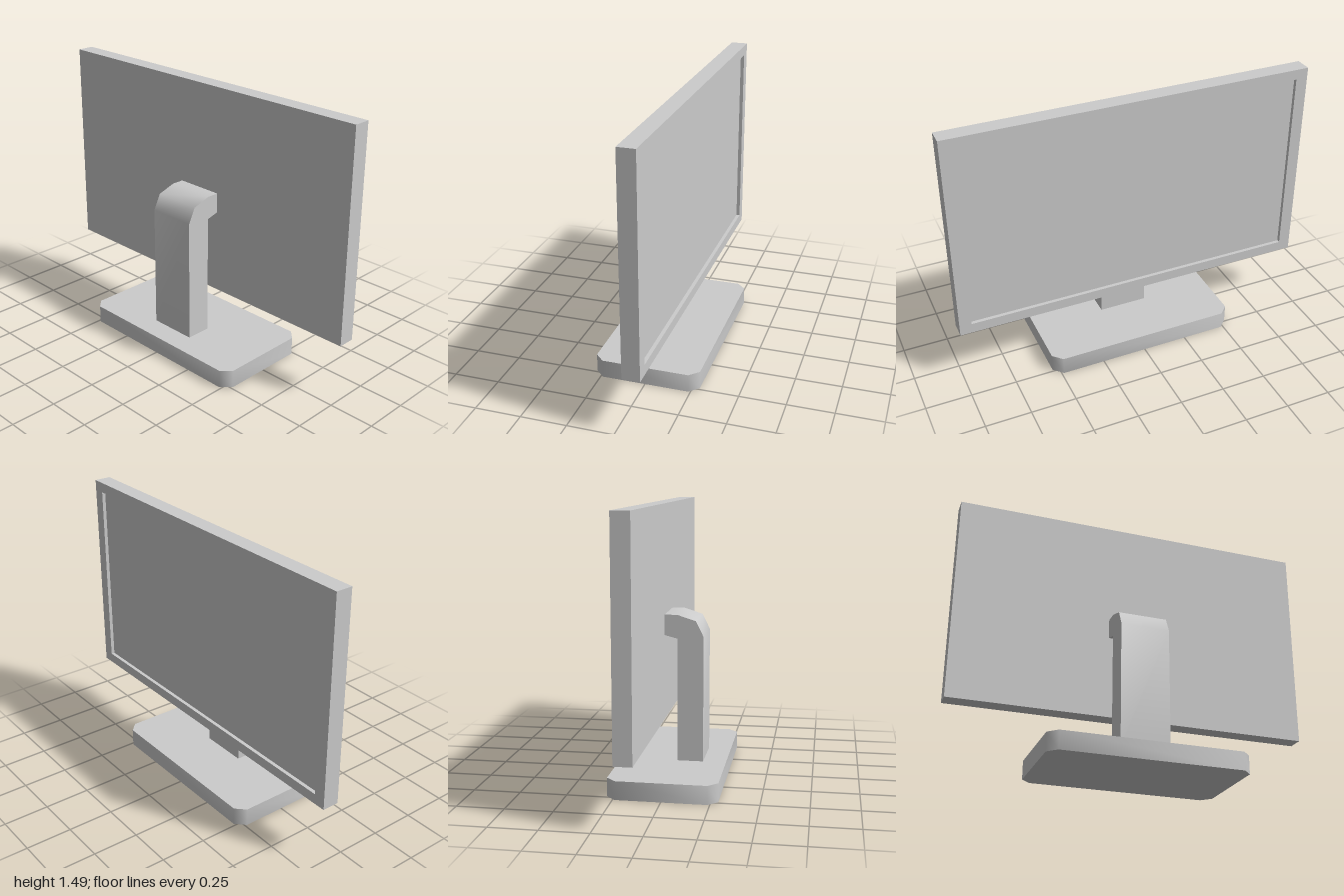
import * as THREE from 'three';
import { toCreasedNormals } from 'three/addons/utils/BufferGeometryUtils.js';

const material = new THREE.MeshStandardMaterial({ color: 0xcccccc });

const points = (list) => list.map(([x, y]) => new THREE.Vector2(x, y));

const rectangle = (w, h) =>
  points([[-w / 2, -h / 2], [w / 2, -h / 2], [w / 2, h / 2], [-w / 2, h / 2]]);

const extrude = (shape, depth) =>
  new THREE.ExtrudeGeometry(shape, { depth, bevelEnabled: false });

export function createModel() {
  const model = new THREE.Group();
  model.name = 'monitor';

  const add = (name, geometry, x = 0, y = 0, z = 0) => {
    const mesh = new THREE.Mesh(geometry, material);
    mesh.name = name;
    mesh.position.set(x, y, z);
    model.add(mesh);
  };

  // Base: slab with cut corners, softly shaded around its rim
  const bx = 0.288, bz = 0.537, cut = 0.05;
  const baseShape = new THREE.Shape(points([
    [-bx + cut, -bz], [bx - cut, -bz], [bx, -bz + cut], [bx, bz - cut],
    [bx - cut, bz], [-bx + cut, bz], [-bx, bz - cut], [-bx, -bz + cut],
  ]));
  const base = extrude(baseShape, 0.1).rotateX(-Math.PI / 2);
  add('base', toCreasedNormals(base, 0.9));

  // Neck: upright that bends over to meet the back of the screen
  const neckShape = new THREE.Shape(points([
    [-0.163, 0.1], [-0.022, 0.1], [-0.022, 0.772], [0.047, 0.79],
    [0.047, 0.9], [-0.022, 0.9], [-0.122, 0.868], [-0.163, 0.785],
  ]));
  const neckWidth = 0.27;
  const neck = extrude(neckShape, neckWidth).translate(0, 0, -neckWidth / 2);
  add('neck', toCreasedNormals(neck, 0.9));

  // Screen housing: its front face is the recessed display panel
  const height = 1.158, middle = 0.906, back = 0.047, front = 0.14, recess = 0.02;
  const depth = front - recess - back;
  add('screenHousing', new THREE.BoxGeometry(depth, height, 2), back + depth / 2, middle);

  // Bezel: raised rim around the panel, facing +x
  const bezelShape = new THREE.Shape(rectangle(2, height));
  bezelShape.holes.push(new THREE.Path(rectangle(1.868, 1.046).reverse()));
  const bezel = extrude(bezelShape, recess).rotateY(Math.PI / 2);
  add('bezel', bezel, front - recess, middle);

  return model;
}
